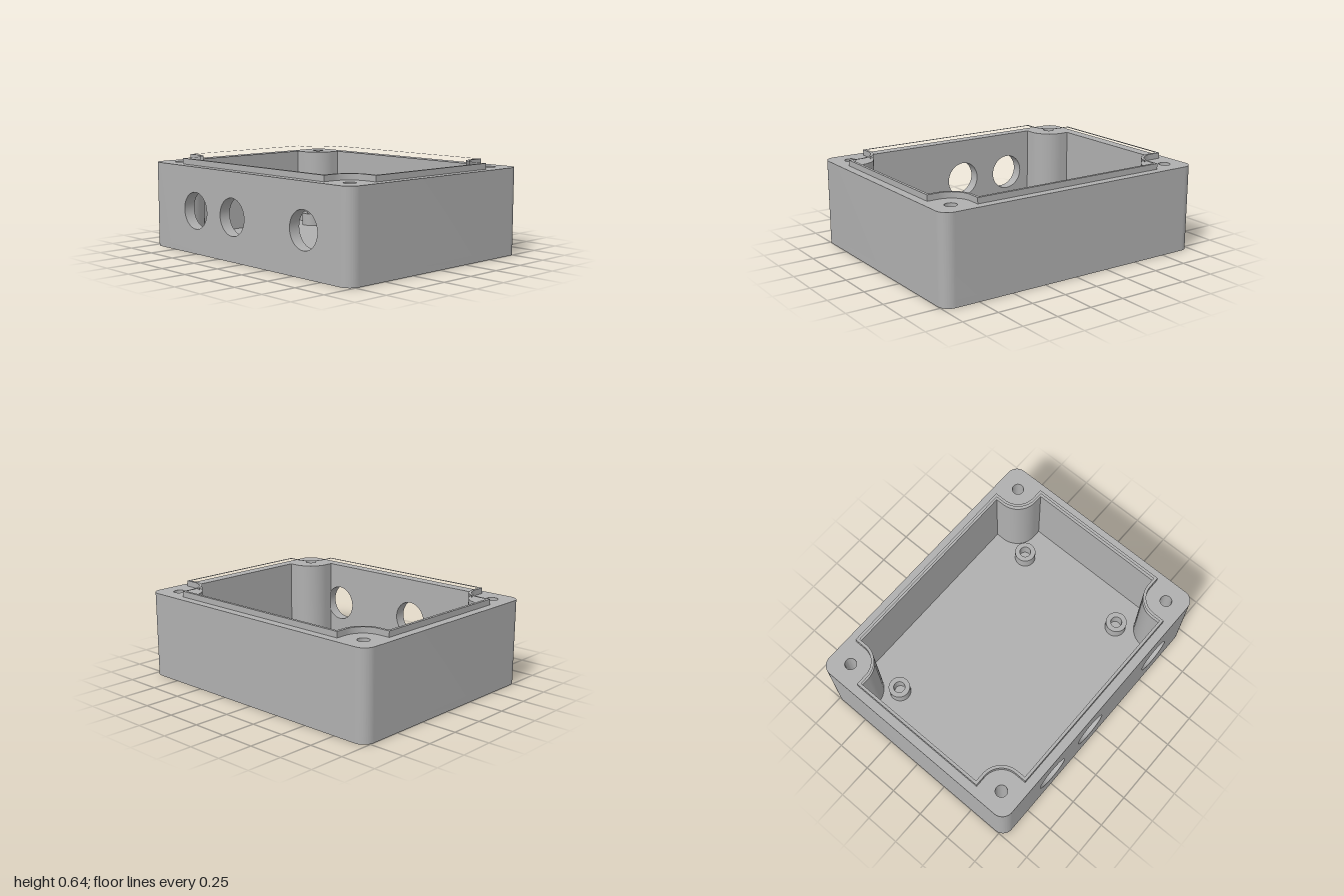
import * as THREE from 'three';
import { toCreasedNormals } from 'three/addons/utils/BufferGeometryUtils.js';

const FLOOR = 0.05, RIM = 0.6, TOP = 0.64, WALL_Z = 0.72;
const SCREW = { x: 0.86, z: 0.66 };

// Clockwise outline with a concave rounded notch around each corner screw
function notchedOutline(hx, hy, r) {
  const quadrant = [new THREE.Vector2(SCREW.x - r, hy)];
  for (let i = 0; i <= 16; i++) {
    const a = Math.PI + (i / 16) * Math.PI / 2;
    quadrant.push(new THREE.Vector2(SCREW.x + r * Math.cos(a), SCREW.z + r * Math.sin(a)));
  }
  quadrant.push(new THREE.Vector2(hx, SCREW.z - r));
  const mirror = (sx, sy) => quadrant.map(p => new THREE.Vector2(p.x * sx, p.y * sy));
  return [...mirror(-1, -1), ...mirror(-1, 1).reverse(), ...mirror(1, 1), ...mirror(1, -1).reverse()];
}

const circle = (x, y, r) => new THREE.Path().absarc(x, y, r, 0, Math.PI * 2, true);

function extrude(shape, depth) {
  const g = new THREE.ExtrudeGeometry(shape, { depth, bevelEnabled: false, curveSegments: 20 });
  return toCreasedNormals(g, 0.6);
}

// Extrude a plan shape (x, -z) upwards between two heights
const upright = (shape, y0, y1) => extrude(shape, y1 - y0).rotateX(-Math.PI / 2).translate(0, y0, 0);

// Rounded outer edge, counter-clockwise from front right to front left
function outerEdge(shape) {
  const r = 0.08, x = 1 - r, y = 0.8 - r, q = Math.PI / 2;
  return shape
    .absarc(x, -y, r, -q, 0)
    .absarc(x, y, r, 0, q)
    .absarc(-x, y, r, q, 2 * q)
    .absarc(-x, -y, r, 2 * q, 3 * q);
}

export function createModel() {
  const group = new THREE.Group();
  const grey = new THREE.MeshStandardMaterial({ color: 0xb0b0b0 });
  grey.name = 'grey plastic';
  const add = (name, geometry) => {
    const mesh = new THREE.Mesh(geometry, grey);
    mesh.name = name;
    group.add(mesh);
    return mesh;
  };

  // Floor slab
  add('floor', upright(outerEdge(new THREE.Shape()), 0, FLOOR));

  // Side and back walls with corner pillars; the front is left open for its panel
  const cavity = notchedOutline(0.92, WALL_Z, 0.16);
  const walls = new THREE.Shape().moveTo(0.9, -WALL_Z).lineTo(0.9, -0.8);
  outerEdge(walls).lineTo(-0.7, -0.8);
  cavity.forEach(p => walls.lineTo(p.x, p.y));
  for (const sx of [-1, 1]) {
    for (const sz of [-1, 1]) walls.holes.push(circle(sx * SCREW.x, sz * SCREW.z, 0.04));
  }
  add('wallsAndPillars', upright(walls, FLOOR, RIM));

  // Front panel with three cable openings
  const panel = new THREE.Shape()
    .moveTo(-0.7, FLOOR).lineTo(0.9, FLOOR).lineTo(0.9, RIM).lineTo(-0.7, RIM);
  for (const x of [-0.5, -0.1, 0.6]) panel.holes.push(circle(x, 0.3, 0.127));
  add('frontPanel', extrude(panel, 0.8 - WALL_Z).translate(0, 0, WALL_Z));

  // Raised sealing lip
  const lip = new THREE.Shape(notchedOutline(0.94, 0.74, 0.14));
  lip.holes.push(new THREE.Path(cavity));
  add('lip', upright(lip, RIM, TOP));

  // Mounting posts on the floor
  const ring = new THREE.Shape().absarc(0, 0, 0.075, 0, Math.PI * 2);
  ring.holes.push(circle(0, 0, 0.04));
  const postGeometry = upright(ring, FLOOR, 0.14);
  for (const [x, z] of [[-0.69, -0.44], [0.69, -0.44], [0.69, 0.42]]) {
    add('mountingPost', postGeometry).position.set(x, 0, z);
  }
  return group;
}
